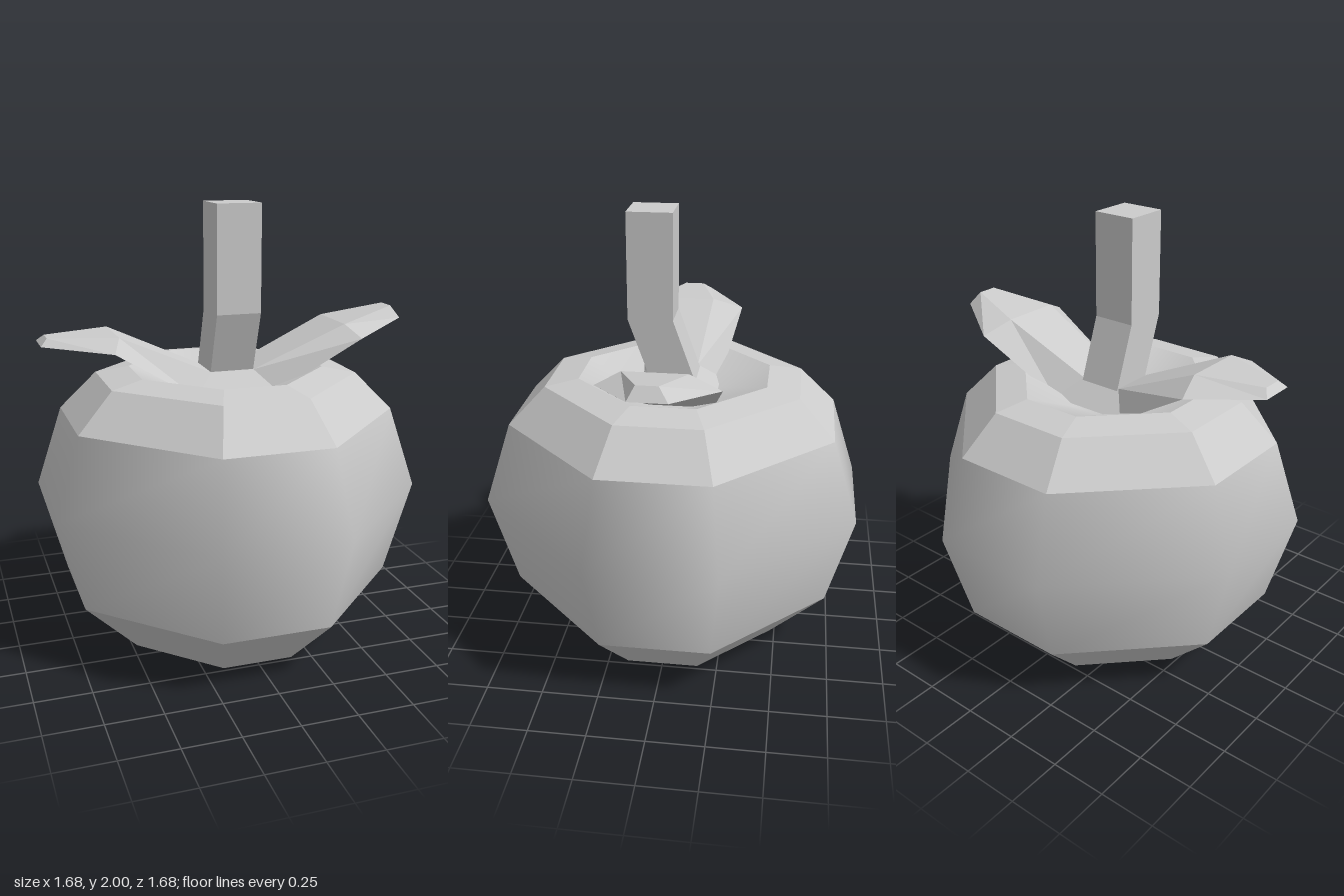
import * as THREE from 'three';

// Skin a list of equal-length cross-sections, optionally closing the ends.
function loft(rings, { smooth = false, capStart = false, capEnd = false } = {}) {
  const n = rings[0].length, last = (rings.length - 1) * n, index = [];
  for (let r = 0; r < rings.length - 1; r++) {
    for (let i = 0; i < n; i++) {
      const j = (i + 1) % n, a = r * n + i, b = r * n + j;
      index.push(a, a + n, b, b, a + n, b + n);
    }
  }
  for (let i = 1; i < n - 1; i++) {
    if (capStart) index.push(0, i, i + 1);
    if (capEnd) index.push(last, last + i + 1, last + i);
  }
  let geo = new THREE.BufferGeometry();
  geo.setAttribute('position', new THREE.Float32BufferAttribute(rings.flat(2), 3));
  geo.setIndex(index);
  if (!smooth) geo = geo.toNonIndexed();
  geo.computeVertexNormals();
  return geo;
}

// Eight-sided ring: a square of half-width a with its corners cut back to a third.
function octagon([a, y]) {
  const b = a / 3;
  return [[a, -b], [a, b], [b, a], [-b, a], [-a, b], [-a, -b], [-b, -a], [b, -a]]
    .map(([x, z]) => [x, y, z]);
}

// Horizontal square section of the stem.
function square(y, z) {
  return [[0.1, -0.1], [0.1, 0.1], [-0.1, 0.1], [-0.1, -0.1]]
    .map(([x, dz]) => [x, y, z + dz]);
}

// Leaf section: narrow upper edge, wider lower edge.
function leafSection([xt, yt, backT, frontT, xb, yb, halfB]) {
  return [[xt, yt, frontT], [xt, yt, backT], [xb, yb, -halfB], [xb, yb, halfB]];
}

export function createModel() {
  const group = new THREE.Group();
  const add = (name, geometry, flatShading = false) => {
    const mesh = new THREE.Mesh(geometry, new THREE.MeshStandardMaterial({ color: 0xcccccc, flatShading }));
    mesh.name = name;
    group.add(mesh);
  };

  // Fruit: rounded middle, faceted shoulders and base, hollows at both ends
  add('fruitMiddle', loft([[0.725, 0.26], [0.84, 0.69], [0.725, 1.06]].map(octagon), { smooth: true }));
  add('fruitBase', loft([[0.48, 0], [0.725, 0.26]].map(octagon)), true);
  add('fruitShoulder', loft([[0.725, 1.06], [0.565, 1.23], [0.42, 1.258]].map(octagon)), true);
  add('bottomHollow', loft([[0.24, 0.07], [0.48, 0]].map(octagon), { smooth: true, capStart: true }));
  add('topHollow', loft([[0.42, 1.258], [0.2, 1.165]].map(octagon), { smooth: true, capEnd: true }));

  // Two leaves joined by a hub under the stem, from the right tip to the left tip
  add('leaves', loft([
    [-0.81, 1.445, -0.04, 0.05, -0.84, 1.415, 0.08],
    [-0.52, 1.45, -0.12, 0.155, -0.56, 1.4, 0.26],
    [-0.1, 1.26, -0.09, 0.11, -0.19, 1.17, 0.19],
    [0.1, 1.26, -0.09, 0.11, 0.19, 1.17, 0.19],
    [0.52, 1.45, -0.12, 0.155, 0.56, 1.4, 0.26],
    [0.8, 1.505, -0.04, 0.05, 0.835, 1.45, 0.08],
  ].map(leafSection), { capStart: true, capEnd: true }), true);

  // Square stem that leans forward, then rises straight
  add('stem', loft([square(1.25, 0), square(1.53, 0.1), square(2, 0.1)], { capStart: true, capEnd: true }), true);

  return group;
}
